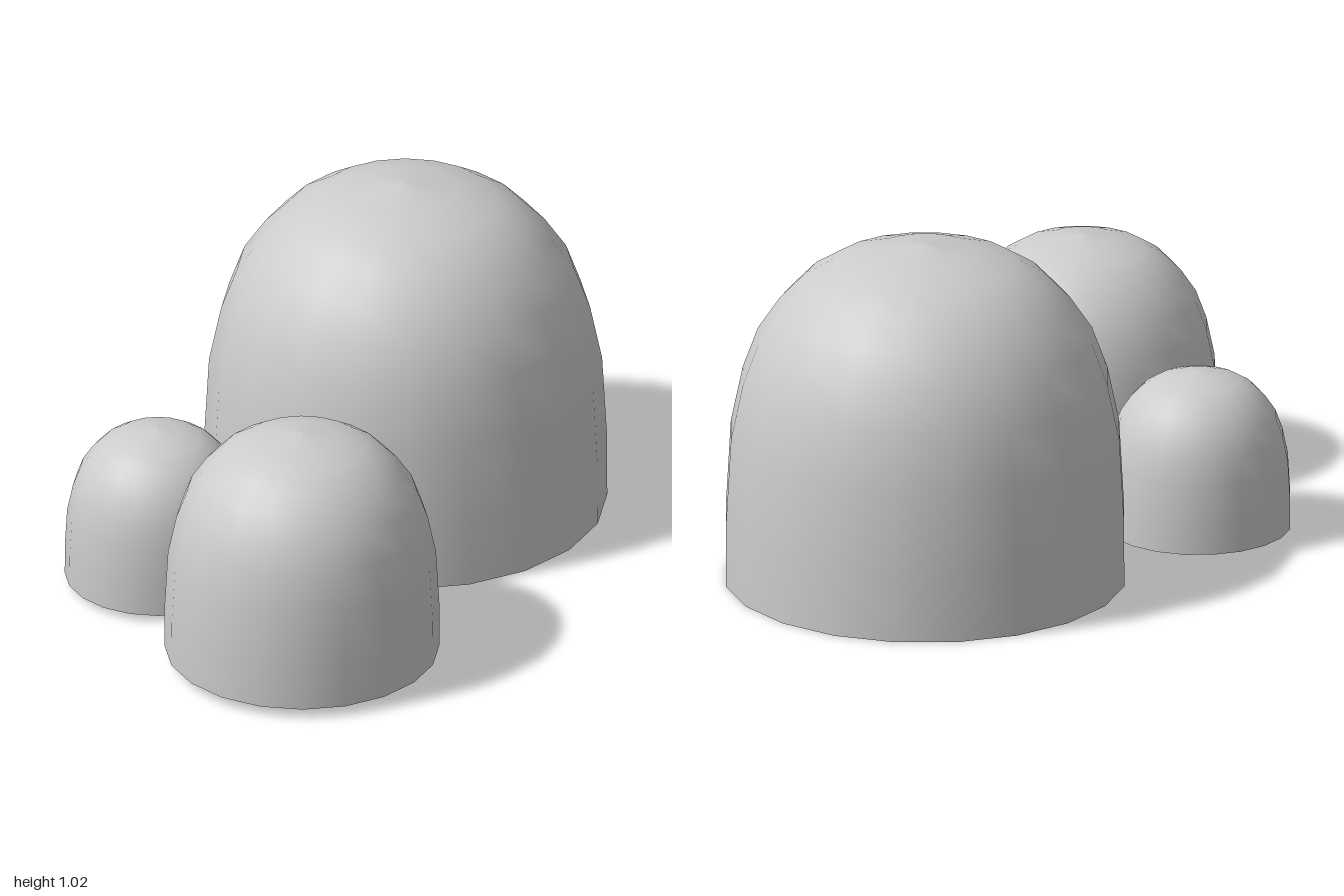
import * as THREE from 'three';

const SIDES = 20;

// Half profile of one dome, rim to tip: [radius, height]
const PROFILE = [
  [0.587, 0], [0.586, 0.2], [0.572, 0.45], [0.537, 0.617], [0.492, 0.74],
  [0.427, 0.837], [0.355, 0.912], [0.27, 0.965], [0.15, 1.004], [0, 1.024],
].map(([r, y]) => new THREE.Vector2(r, y));

// name, scale, position of the rim's centre
const DOMES = [
  ['largeDome', 1, [0.16, 0, -0.42]],
  ['mediumDome', 0.682, [0.01, 0.03, 0.603]],
  ['smallDome', 0.462, [-0.475, 0.02, 0.2]],
];

export function createModel() {
  const group = new THREE.Group();
  group.name = 'domeCluster';
  const material = new THREE.MeshStandardMaterial({ color: 0xcccccc, side: THREE.DoubleSide });

  // Open-bottomed shell, turned half a step so flat sides face the axes
  const shell = new THREE.LatheGeometry(PROFILE, SIDES, Math.PI / SIDES);

  for (const [name, scale, position] of DOMES) {
    const dome = new THREE.Mesh(shell, material);
    dome.name = name;
    dome.scale.setScalar(scale);
    dome.position.set(...position);
    group.add(dome);
  }
  return group;
}
